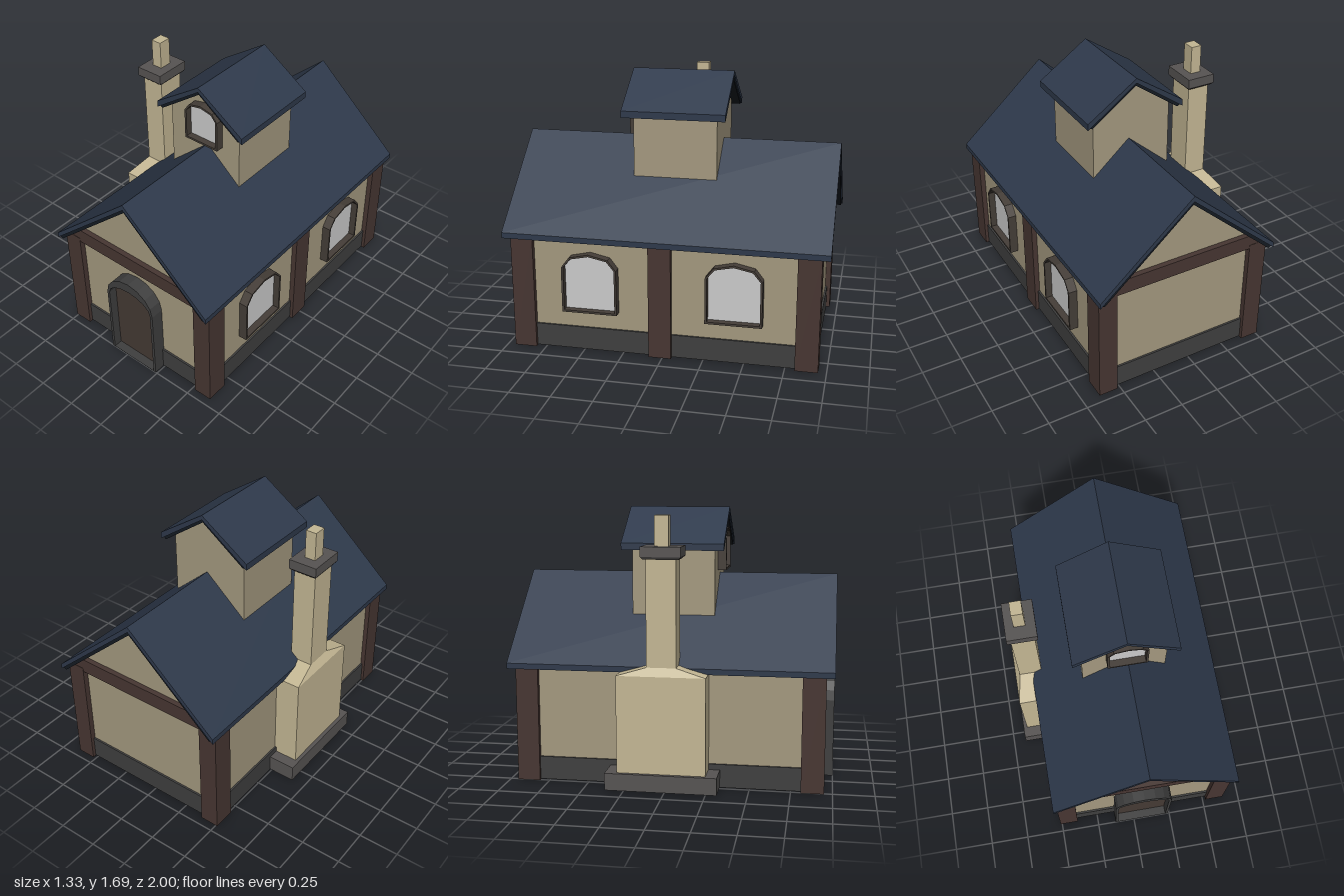
import * as THREE from 'three';

const mat = (color) => new THREE.MeshStandardMaterial({ color, flatShading: true, side: THREE.DoubleSide });
const M = {
  wall: mat(0xa4997f), chimney: mat(0xc4b794), roof: mat(0x2e394b), trim: mat(0x141a22),
  wood: mat(0x473632), stone: mat(0x3f3f3f), cap: mat(0x575453), door: mat(0x453a34),
  frame: mat(0x453e38), glass: mat(0xcccccc),
};

function add(parent, name, geometry, material) {
  const mesh = new THREE.Mesh(geometry, material);
  mesh.name = name;
  parent.add(mesh);
  return mesh;
}

// Box given by its two extreme corners
function box(parent, name, material, x0, x1, y0, y1, z0, z1) {
  const g = new THREE.BoxGeometry(x1 - x0, y1 - y0, z1 - z0);
  g.translate((x0 + x1) / 2, (y0 + y1) / 2, (z0 + z1) / 2);
  return add(parent, name, g, material);
}

// Prism along z from a front outline
function prism(parent, name, material, shape, z0, z1) {
  const g = new THREE.ExtrudeGeometry(shape, { depth: z1 - z0, bevelEnabled: false });
  g.translate(0, 0, z0);
  return add(parent, name, g, material);
}

const polygon = (pts) => new THREE.Shape(pts.map(([x, y]) => new THREE.Vector2(x, y)));

// Box whose top and bottom rectangles differ: [x0, x1, z0, z1]
function taper(parent, name, material, bottom, top, y0, y1) {
  const g = new THREE.BoxGeometry(1, 1, 1);
  const p = g.attributes.position;
  for (let i = 0; i < p.count; i++) {
    const up = p.getY(i) > 0;
    const r = up ? top : bottom;
    p.setXYZ(i, p.getX(i) < 0 ? r[0] : r[1], up ? y1 : y0, p.getZ(i) < 0 ? r[2] : r[3]);
  }
  g.computeVertexNormals();
  return add(parent, name, g, material);
}

// Outline with straight sides and a faceted arch
function arch(halfWidth, y0, spring, top, segments) {
  const pts = [[-halfWidth, y0], [halfWidth, y0]];
  for (let i = 0; i <= segments; i++) {
    const a = (i / segments) * Math.PI;
    pts.push([halfWidth * Math.cos(a), spring + (top - spring) * Math.sin(a)]);
  }
  return polygon(pts);
}

// Arched window standing out from a wall at local z = 0
function makeWindow(name, halfWidth, y0, spring, top) {
  const group = new THREE.Group();
  group.name = name;
  const t = 0.013;
  const outer = arch(halfWidth, y0, spring, top, 4);
  outer.holes.push(arch(halfWidth - t, y0 + t, spring, top - t, 4));
  prism(group, 'windowFrame', M.frame, outer, 0, 0.055);
  prism(group, 'windowPane', M.glass, arch(halfWidth - t, y0 + t, spring, top - t, 4), 0, 0.012);
  return group;
}

// Gable roof: outer layer plus a slightly recessed dark layer beneath
function gableRoof(parent, name, cx, half, eave, lip, apex, thick, z0, z1) {
  const layer = (a, b) => polygon([
    [cx - half, eave + lip], [cx, apex - a], [cx + half, eave + lip],
    [cx + half, eave], [cx, apex - b], [cx - half, eave],
  ]);
  prism(parent, name, M.roof, layer(0, thick * 0.6), z0, z1);
  const e = half - 0.012;
  prism(parent, name + 'Underside', M.trim, polygon([
    [cx - e, eave + 0.012], [cx, apex - thick * 0.55], [cx + e, eave + 0.012],
    [cx + e - 0.02, eave], [cx, apex - thick], [cx - e + 0.02, eave],
  ]), z0 + 0.008, z1 - 0.008);
}

export function createModel() {
  const house = new THREE.Group();
  house.name = 'house';

  // Hollow walls, open underneath
  const L = -0.48, R = 0.607, Z = 0.915, T = 0.02, CX = 0.063;
  const gable = [[L, 0.01], [R, 0.01], [R, 0.75], [CX, 1.215], [L, 0.75]];
  prism(house, 'frontWall', M.wall, polygon(gable), Z - T, Z);
  prism(house, 'backWall', M.wall, polygon(gable), -Z, -Z + T);
  box(house, 'leftWall', M.wall, L, L + T, 0.01, 0.75, -Z, Z);
  box(house, 'rightWall', M.wall, R - T, R, 0.01, 0.75, -Z, Z);

  // Stone plinth around the foot of the walls
  const P = 0.012;
  for (const s of [-1, 1]) {
    const zs = [s * (Z - T), s * (Z + P)].sort((a, b) => a - b);
    box(house, 'endPlinth', M.stone, L - P, R + P, 0.005, 0.15, zs[0], zs[1]);
  }
  box(house, 'leftPlinth', M.stone, L - P, L + T, 0.005, 0.15, -Z, Z);
  box(house, 'rightPlinth', M.stone, R - T, R + P, 0.005, 0.15, -Z, Z);

  // Timber posts and gable beams
  for (const [z0, z1] of [[0.81, 0.95], [-0.055, 0.085], [-0.95, -0.81]]) {
    box(house, 'leftPost', M.wood, -0.51, -0.39, 0, 0.74, z0, z1);
    box(house, 'rightPost', M.wood, 0.52, 0.64, 0, 0.74, z0, z1);
  }
  const beam = polygon([[-0.51, 0.715], [0.64, 0.715], [0.535, 0.81], [-0.41, 0.81]]);
  prism(house, 'frontBeam', M.wood, beam, 0.85, 0.948);
  prism(house, 'backBeam', M.wood, beam, -0.948, -0.85);

  gableRoof(house, 'mainRoof', CX, 0.593, 0.71, 0.035, 1.27, 0.06, -1, 1);

  // Arched front door
  const door = new THREE.Group();
  door.name = 'door';
  door.position.x = 0.055;
  house.add(door);
  const surround = arch(0.185, 0, 0.49, 0.65, 8);
  surround.holes.push(arch(0.167, 0.001, 0.49, 0.585, 8));
  prism(door, 'doorSurround', M.stone, surround, 0.9, 1);
  prism(door, 'doorPanel', M.door, arch(0.167, 0.003, 0.49, 0.585, 8), 0.9, 0.945);
  prism(door, 'doorInside', M.glass, arch(0.167, 0.003, 0.49, 0.585, 8), 0.885, 0.892);

  // Right side windows
  for (const z of [0.45, -0.44]) {
    const w = makeWindow('sideWindow', 0.173, 0.262, 0.55, 0.643);
    w.rotation.y = Math.PI / 2;
    w.position.set(R, 0, z);
    house.add(w);
  }

  // Roof turret, its foot following the main roof
  const turret = new THREE.Group();
  turret.name = 'turret';
  house.add(turret);
  prism(turret, 'turretWalls', M.wall, polygon([
    [-0.215, 1.0], [CX, 1.24], [0.305, 1.03], [0.305, 1.47], [0.046, 1.645], [-0.215, 1.47],
  ]), -0.27, 0.25);
  gableRoof(turret, 'turretRoof', 0.046, 0.322, 1.43, 0.042, 1.69, 0.05, -0.33, 0.312);
  const turretWindow = makeWindow('turretWindow', 0.123, 1.295, 1.495, 1.563);
  turretWindow.position.set(0.057, 0, 0.25);
  turret.add(turretWindow);

  // Chimney against the left wall
  const chimney = new THREE.Group();
  chimney.name = 'chimney';
  house.add(chimney);
  const body = [-0.64, -0.465, -0.29, 0.25], shaft = [-0.61, -0.465, -0.11, 0.07];
  const cap = [-0.63, -0.445, -0.14, 0.1];
  box(chimney, 'chimneyBase', M.cap, -0.665, -0.465, 0.01, 0.115, -0.36, 0.32);
  taper(chimney, 'chimneyBody', M.chimney, body, body, 0.1, 0.71);
  taper(chimney, 'chimneyShoulder', M.chimney, body, shaft, 0.71, 0.76);
  taper(chimney, 'chimneyShaft', M.chimney, shaft, shaft, 0.76, 1.41);
  taper(chimney, 'chimneyCapFoot', M.cap, [-0.62, -0.455, -0.125, 0.085], cap, 1.4, 1.415);
  taper(chimney, 'chimneyCap', M.cap, cap, cap, 1.415, 1.475);
  box(chimney, 'chimneyPot', M.chimney, -0.575, -0.505, 1.47, 1.655, -0.065, 0.02);

  return house;
}
